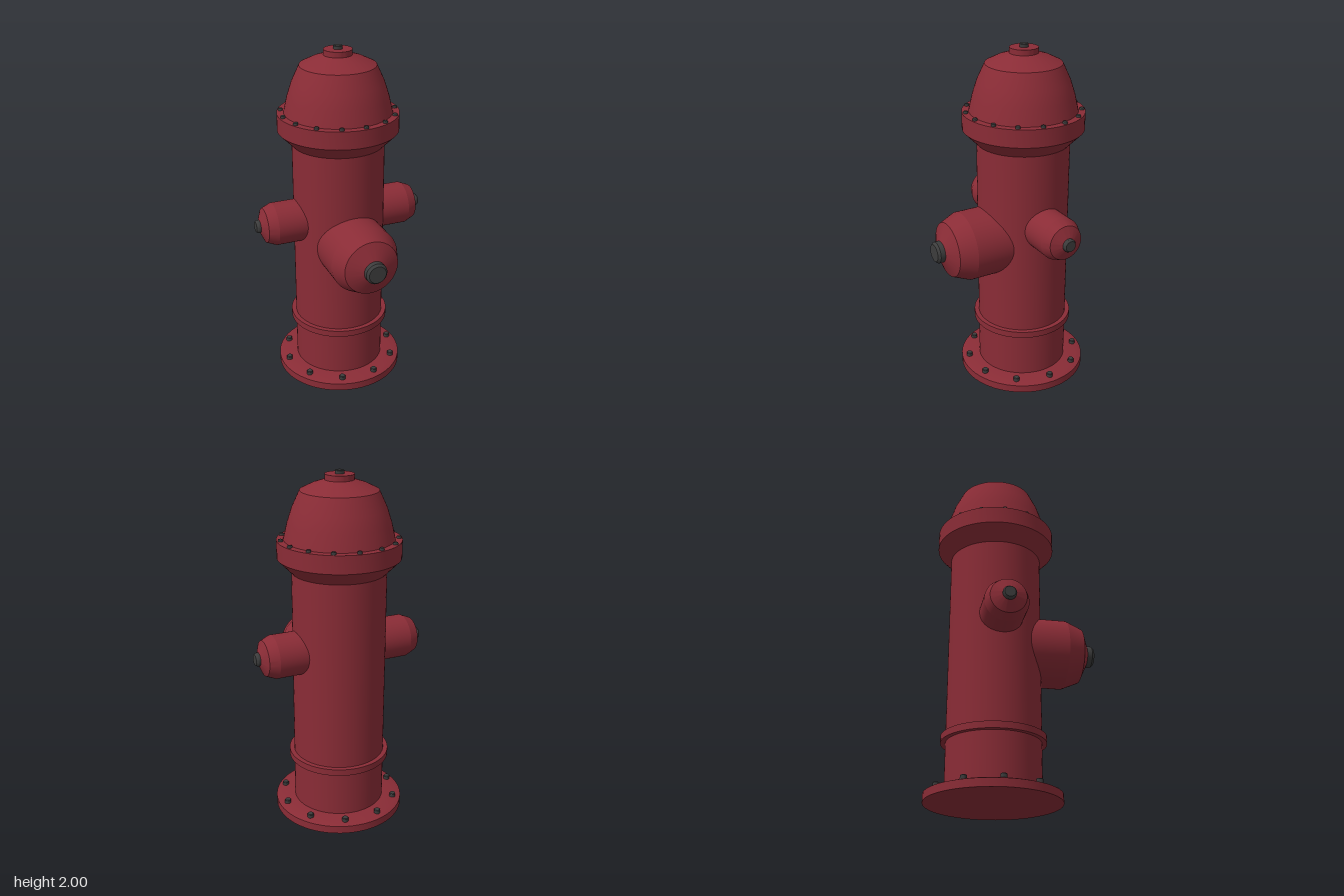
import * as THREE from 'three';
import { toCreasedNormals } from 'three/addons/utils/BufferGeometryUtils.js';

const red = new THREE.MeshStandardMaterial({ color: 0x8a2c36 });
const dark = new THREE.MeshStandardMaterial({ color: 0x3c3c3c });

// Turned part from [radius, height] pairs, listed bottom to top
function turned(name, profile, material = red, segments = 64) {
  const points = profile.map(([r, y]) => new THREE.Vector2(r, y));
  const geometry = toCreasedNormals(new THREE.LatheGeometry(points, segments), 0.35);
  const mesh = new THREE.Mesh(geometry, material);
  mesh.name = name;
  return mesh;
}

// Ring of small bolts
function boltRing(name, count, ringRadius, boltRadius, y0, y1) {
  const group = new THREE.Group();
  group.name = name;
  const profile = [[0, y0], [boltRadius, y0], [boltRadius, y1 - 0.004], [boltRadius * 0.85, y1], [0, y1]];
  for (let i = 0; i < count; i++) {
    const a = Math.PI + (i / count) * Math.PI * 2;
    const bolt = turned('bolt', profile, dark, 16);
    bolt.position.set(ringRadius * Math.cos(a), 0, ringRadius * Math.sin(a));
    group.add(bolt);
  }
  return group;
}

// Outlet along local +y: tapered body with an end nut
function outlet(name, body, nut) {
  const group = new THREE.Group();
  group.name = name;
  group.add(turned('outletBody', body), turned('outletNut', nut, dark, 32));
  return group;
}

export function createModel() {
  const model = new THREE.Group();
  model.name = 'hydrant';
  const column = new THREE.Group();
  column.name = 'column';
  column.position.z = -0.1;
  model.add(column);

  // Base flange, barrel and band
  column.add(
    turned('baseFlange', [[0, 0], [0.374, 0], [0.374, 0.045], [0.345, 0.055], [0.25, 0.06]]),
    turned('barrel', [[0.263, 0.03], [0.263, 1.47]]),
    turned('band', [[0.25, 0.327], [0.29, 0.327], [0.29, 0.365], [0.25, 0.365]])
  );

  // Collar, dome and top nut
  column.add(
    turned('collar', [[0.25, 1.45], [0.263, 1.45], [0.342, 1.53], [0.342, 1.63], [0.29, 1.632]]),
    turned('dome', [[0.305, 1.625], [0.283, 1.72], [0.257, 1.8], [0.213, 1.895], [0.15, 1.926], [0.07, 1.953]]),
    turned('topCap', [[0.08, 1.94], [0.08, 1.98], [0, 1.98]]),
    turned('topNut', [[0.025, 1.97], [0.025, 1.997], [0.022, 2], [0, 2]], dark, 24)
  );

  column.add(
    boltRing('baseBolts', 10, 0.33, 0.018, 0.045, 0.078),
    boltRing('collarBolts', 15, 0.322, 0.0135, 1.62, 1.643)
  );

  // Side outlets, mirrored left and right
  for (const side of [1, -1]) {
    const arm = outlet(
      side > 0 ? 'leftOutlet' : 'rightOutlet',
      [[0.123, 0.15], [0.123, 0.4], [0.1, 0.455], [0.038, 0.483], [0, 0.483]],
      [[0.038, 0.47], [0.038, 0.494], [0.03, 0.506], [0, 0.506]]
    );
    arm.rotation.z = -side * Math.PI / 2;
    arm.position.y = 1.005;
    column.add(arm);
  }

  // Large front outlet, measured from the column axis
  const front = outlet(
    'frontOutlet',
    [[0.198, 0.1], [0.198, 0.395], [0.158, 0.49], [0.062, 0.532], [0, 0.532]],
    [[0.062, 0.52], [0.062, 0.56], [0.05, 0.574], [0, 0.574]]
  );
  front.rotation.x = Math.PI / 2;
  front.position.y = 0.886;
  column.add(front);

  return model;
}
